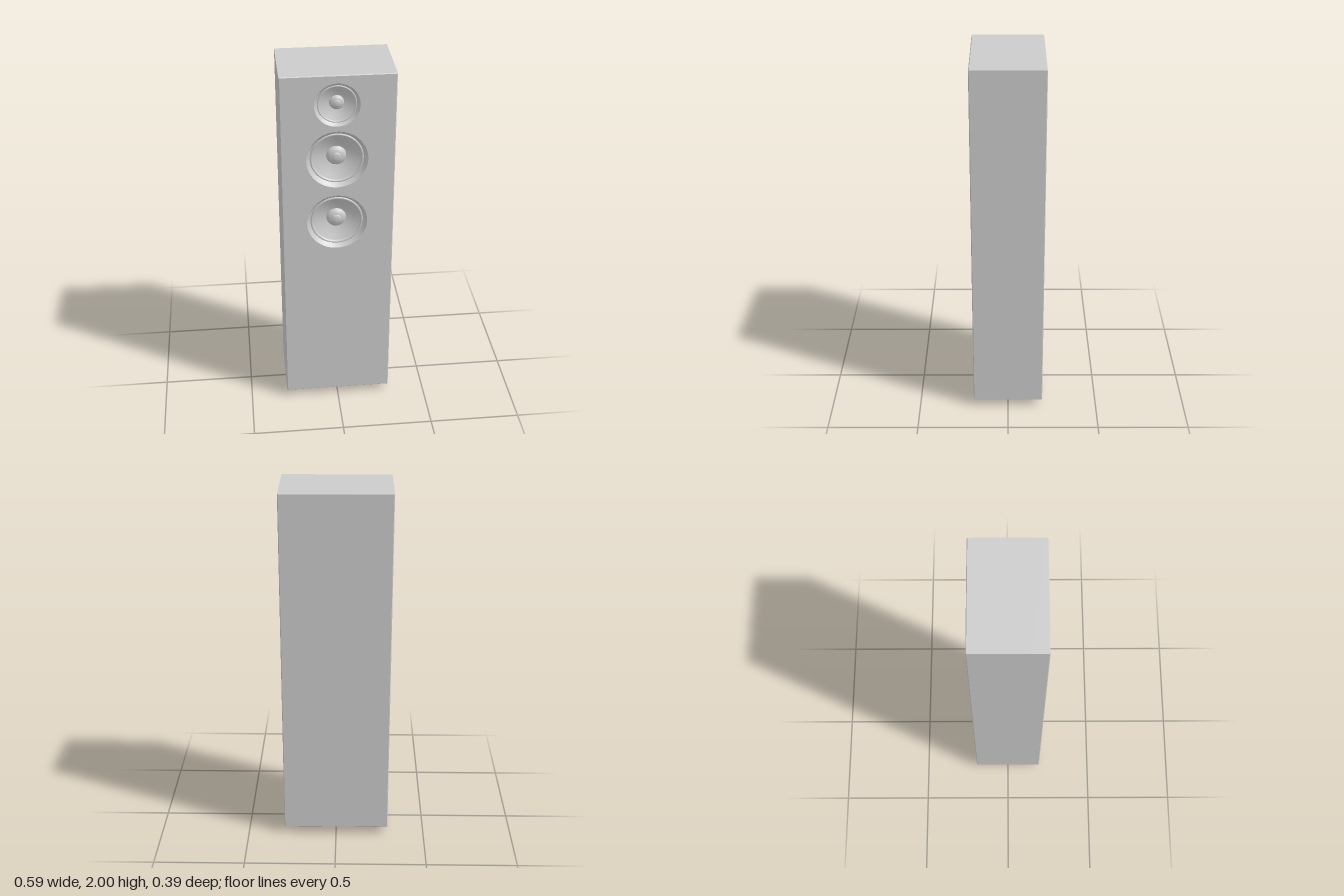
import * as THREE from 'three';

const material = new THREE.MeshStandardMaterial({ color: 0xcccccc });
const HALF_W = 0.295, BOTTOM = 0.04, TOP = 2, FRONT = 0.195, BACK = -0.195;
const BEVEL = 0.004, CENTRE_X = -0.005;

const DRIVERS = [
  { name: 'tweeter', y: 1.84, r: 0.113 },
  { name: 'upperWoofer', y: 1.535, r: 0.156 },
  { name: 'lowerWoofer', y: 1.165, r: 0.156 },
];

// Driver parts as [radius, depth] profiles for a unit radius, from the rim inwards
const DRIVER_PROFILES = {
  rim: [[1, -0.02], [0.97, -0.07], [0.93, -0.12], [0.89, -0.15]],
  surround: [[0.9, -0.16], [0.89, -0.12], [0.86, -0.1], [0.83, -0.12], [0.81, -0.17]],
  cone: [[0.82, -0.16], [0.66, -0.24], [0.5, -0.31], [0.36, -0.36], [0.28, -0.38]],
  dustCap: [[0.34, -0.38], [0.32, -0.31], [0.27, -0.26], [0.2, -0.225], [0.14, -0.215]],
  capCentre: [[0.16, -0.22], [0.155, -0.185], [0.13, -0.165], [0.07, -0.155], [0, -0.15]],
};

function addMesh(parent, name, geometry) {
  const mesh = new THREE.Mesh(geometry, material);
  mesh.name = name;
  parent.add(mesh);
  return mesh;
}

// Upright slab with chamfered edges, optionally cut by round openings
function slab(zBack, zFront, openings) {
  const shape = new THREE.Shape([
    new THREE.Vector2(-HALF_W, BOTTOM), new THREE.Vector2(HALF_W, BOTTOM),
    new THREE.Vector2(HALF_W, TOP), new THREE.Vector2(-HALF_W, TOP),
  ]);
  for (const { y, r } of openings) {
    shape.holes.push(new THREE.Path().absarc(CENTRE_X, y, r, 0, Math.PI * 2, true));
  }
  const geometry = new THREE.ExtrudeGeometry(shape, {
    depth: zFront - zBack - 2 * BEVEL, curveSegments: 48,
    bevelThickness: BEVEL, bevelSize: BEVEL, bevelOffset: -BEVEL, bevelSegments: 1,
  });
  return geometry.translate(0, 0, zBack + BEVEL);
}

function createDriver({ name, y, r }) {
  const driver = new THREE.Group();
  driver.name = name;
  driver.position.set(CENTRE_X, y, FRONT);
  for (const [part, profile] of Object.entries(DRIVER_PROFILES)) {
    const points = profile.map(([radius, depth]) => new THREE.Vector2(radius * r, depth * r));
    addMesh(driver, part, new THREE.LatheGeometry(points, 48).rotateX(Math.PI / 2));
  }
  return driver;
}

export function createModel() {
  const model = new THREE.Group();
  model.name = 'floorSpeaker';

  // Cabinet: solid rear body with an overlapping baffle that holds the openings
  addMesh(model, 'cabinetBody', slab(BACK, 0.11, []));
  addMesh(model, 'frontBaffle', slab(0.1, FRONT, DRIVERS));

  // Recessed drivers
  for (const driver of DRIVERS) model.add(createDriver(driver));

  // Spiked feet
  const footProfile = [[0, 0], [0.004, 0.004], [0.009, 0.024], [0.009, 0.045]]
    .map(([r, y]) => new THREE.Vector2(r, y));
  for (const x of [-0.225, 0.215]) {
    for (const z of [-0.14, 0.13]) {
      addMesh(model, 'spikeFoot', new THREE.LatheGeometry(footProfile, 16)).position.set(x, 0, z);
    }
  }
  return model;
}
